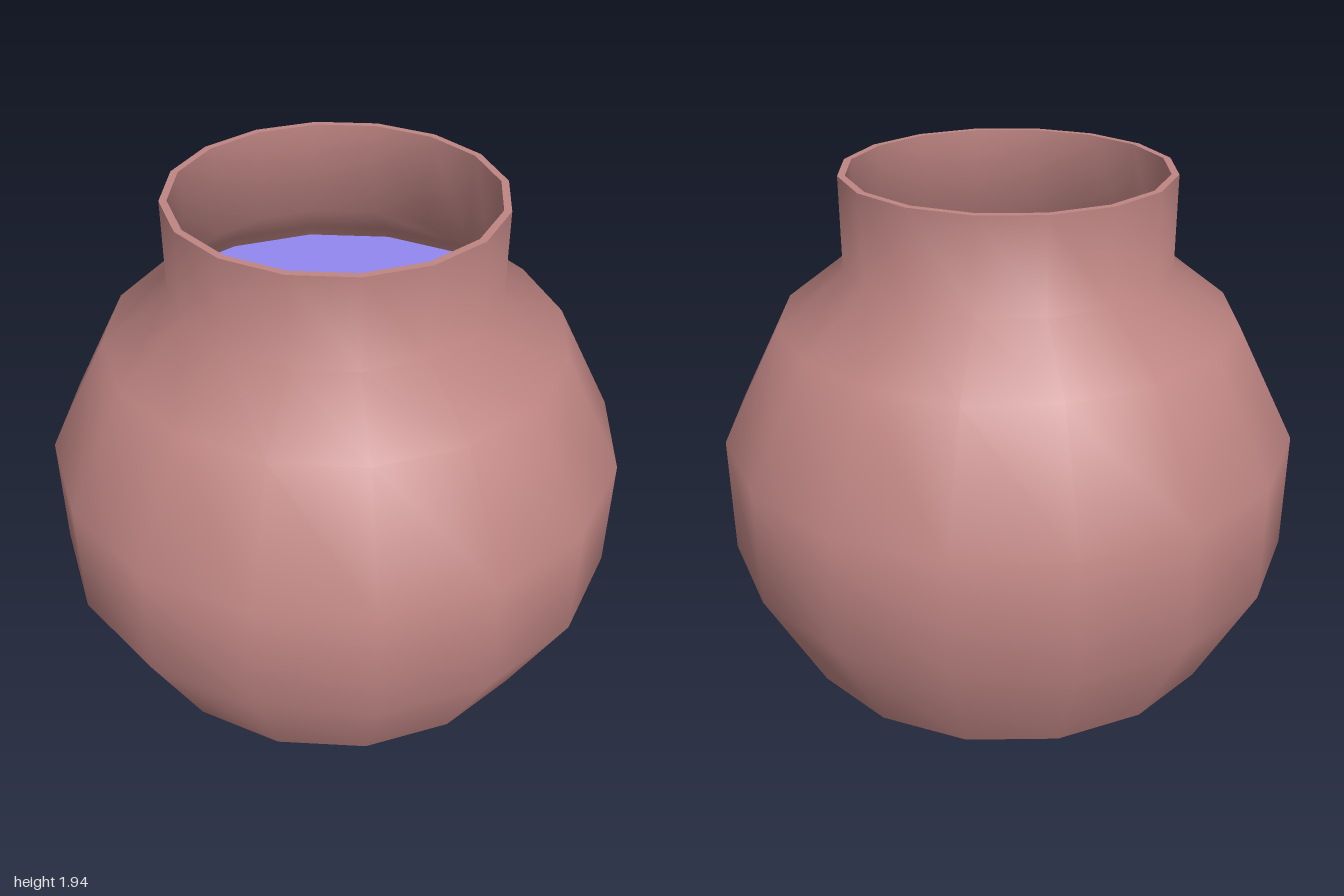
import * as THREE from 'three';

const SIDES = 16;

export function createModel() {
  const pot = new THREE.Group();
  pot.name = 'pot';
  const clay = new THREE.MeshStandardMaterial({ color: 0xc08684 });
  const fluid = new THREE.MeshStandardMaterial({ color: 0x9188f0 });

  // Turn a profile of [radius, height] points around the y axis.
  const turn = (name, profile, material) => {
    const points = profile.map(([r, y]) => new THREE.Vector2(r, y));
    const mesh = new THREE.Mesh(new THREE.LatheGeometry(points, SIDES), material);
    mesh.name = name;
    pot.add(mesh);
  };

  // Separate profiles keep a sharp edge where they meet.
  turn('base', [[0, 0], [0.52, 0], [0.79, 0.2]], clay);
  turn('body', [[0.79, 0.2], [1, 0.61], [1, 1.03], [0.79, 1.44], [0.56, 1.62], [0.56, 1.94]], clay);
  turn('rim', [[0.56, 1.94], [0.535, 1.94]], clay);

  // Inner wall, from the rim down to the floor
  turn('innerWall', [[0.535, 1.94], [0.535, 1.61], [0.77, 1.425], [0.975, 1.02],
    [0.975, 0.62], [0.77, 0.215], [0.51, 0.025], [0, 0.025]], clay);

  // Liquid surface just below the shoulder
  turn('liquid', [[0.79, 1.38], [0, 1.38]], fluid);

  return pot;
}
